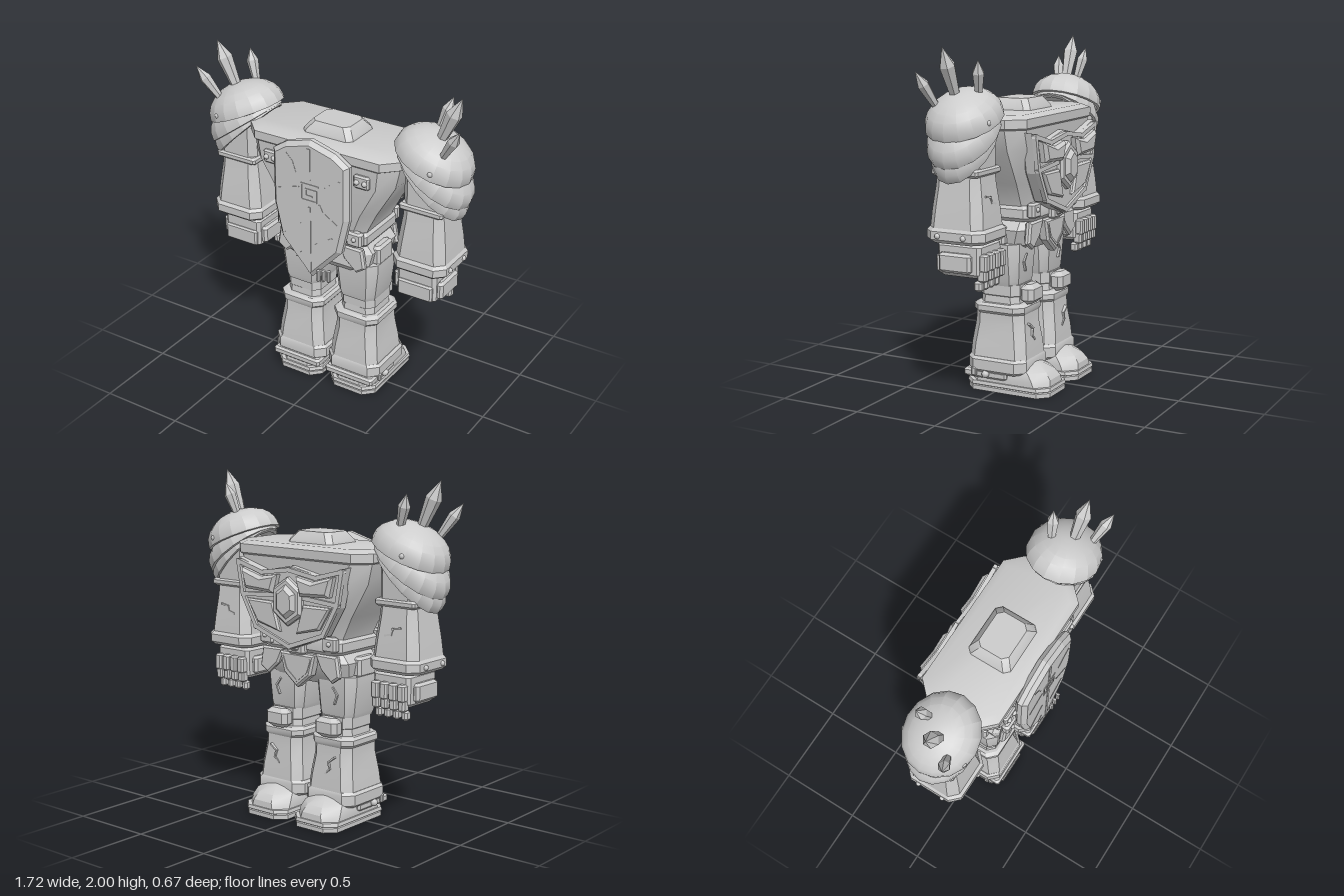
import * as THREE from 'three';
import { mergeVertices, toCreasedNormals } from 'three/addons/utils/BufferGeometryUtils.js';

export function createModel() {
  const model = new THREE.Group();
  const stone = new THREE.MeshStandardMaterial({ color: 0xcccccc, side: THREE.DoubleSide });
  stone.name = 'pale grey';

  const add = (name, geo) => {
    const m = new THREE.Mesh(geo, stone);
    m.name = name;
    model.add(m);
    return m;
  };

  // Stacked octagonal sections, bottom to top: [y, halfX, halfZ, corner, centreZ]
  const loft = (name, cx, sections) => {
    const pos = [], idx = [], n = 8;
    for (const [y, hx, hz, c, cz = 0] of sections) {
      const ring = [[hx, hz - c], [hx, c - hz], [hx - c, -hz], [c - hx, -hz],
        [-hx, c - hz], [-hx, hz - c], [c - hx, hz], [hx - c, hz]];
      for (const [x, z] of ring) pos.push(cx + x, y, cz + z);
    }
    const top = (sections.length - 1) * n;
    for (let i = 0; i < sections.length - 1; i++) {
      for (let j = 0; j < n; j++) {
        const a = i * n + j, b = i * n + (j + 1) % n;
        idx.push(a, b, b + n, a, b + n, a + n);
      }
    }
    for (let j = 1; j < n - 1; j++) idx.push(0, j + 1, j, top, top + j, top + j + 1);
    const g = new THREE.BufferGeometry();
    g.setAttribute('position', new THREE.Float32BufferAttribute(pos, 3));
    g.setIndex(idx);
    return add(name, toCreasedNormals(g, 0.5));
  };

  // Block with bevelled edges
  const block = (name, x, y, z, w, h, d, b = 0.015) => loft(name, x, [
    [y - h / 2, w / 2 - b, d / 2 - b, b, z], [y - h / 2 + b, w / 2, d / 2, b, z],
    [y + h / 2 - b, w / 2, d / 2, b, z], [y + h / 2, w / 2 - b, d / 2 - b, b, z]]);

  // Bevelled plate between two depths, outline in x and y
  const plate = (name, pts, z0, z1, b = 0.012) => {
    const shape = new THREE.Shape(pts.map(p => new THREE.Vector2(...p)));
    const g = new THREE.ExtrudeGeometry(shape, { depth: z1 - z0 - 2 * b, bevelEnabled: true,
      bevelSize: b, bevelThickness: b, bevelOffset: -b, bevelSegments: 1 });
    return add(name, g.translate(0, 0, z0 + b));
  };

  // Thin bars along a path on a face at depth z
  const bars = (name, pts, z, w = 0.008, d = 0.008) => {
    for (let i = 0; i < pts.length - 1; i++) {
      const [x0, y0] = pts[i], [x1, y1] = pts[i + 1];
      const m = add(name, new THREE.BoxGeometry(Math.hypot(x1 - x0, y1 - y0) + w, w, d));
      m.position.set((x0 + x1) / 2, (y0 + y1) / 2, z);
      m.rotation.z = Math.atan2(y1 - y0, x1 - x0);
    }
  };

  const rivet = (x, y, z, r = 0.014) =>
    add('rivet', new THREE.SphereGeometry(r, 10, 8)).position.set(x, y, z);

  // Open domed shell with a thick lip, tilted outward
  const shell = (name, s, x, y, r, rz, h, tilt) => {
    const pts = [];
    for (let i = 0; i <= 5; i++) {
      const a = i / 5 * Math.PI / 2;
      pts.push(new THREE.Vector2(0.91 * Math.sin(a), 0.88 * Math.cos(a)));
    }
    pts.push(new THREE.Vector2(0.92, -0.1), new THREE.Vector2(1, -0.08));
    for (let i = 6; i >= 0; i--) {
      const a = i / 6 * Math.PI / 2;
      pts.push(new THREE.Vector2(Math.sin(a), Math.cos(a)));
    }
    const m = add(name, toCreasedNormals(mergeVertices(new THREE.LatheGeometry(pts, 16)), 0.35));
    m.scale.set(r, h, rz);
    m.position.set(s * x, y, 0.02);
    m.rotation.z = -s * tilt;
  };

  // Six-sided spike that swells before its point
  const spike = (base, tip, r) => {
    const a = new THREE.Vector3(...base), dir = new THREE.Vector3(...tip).sub(a), L = dir.length();
    const pts = [[0, 0], [r * 0.55, 0], [r, L * 0.66], [0, L]].map(p => new THREE.Vector2(...p));
    const m = add('crystalSpike', toCreasedNormals(new THREE.LatheGeometry(pts, 6), 0.1));
    m.position.copy(a);
    m.quaternion.setFromUnitVectors(new THREE.Vector3(0, 1, 0), dir.normalize());
  };

  // Torso, neck and pelvis
  loft('torso', 0, [[0.98, 0.25, 0.18, 0.05], [1.1, 0.28, 0.2, 0.06], [1.22, 0.34, 0.215, 0.07],
    [1.42, 0.46, 0.23, 0.08], [1.54, 0.485, 0.235, 0.09]]);
  loft('shoulderTrim', 0, [[1.535, 0.485, 0.235, 0.09], [1.545, 0.5, 0.245, 0.09],
    [1.595, 0.5, 0.245, 0.09], [1.615, 0.46, 0.205, 0.08]]);
  loft('neckBlock', 0, [[1.61, 0.165, 0.135, 0.03, 0.01], [1.63, 0.16, 0.13, 0.03, 0.01],
    [1.68, 0.12, 0.095, 0.03, 0.01]]);
  loft('pelvis', 0, [[0.81, 0.2, 0.13, 0.04, 0.02], [0.86, 0.29, 0.17, 0.05, 0.02],
    [0.95, 0.31, 0.18, 0.05], [1.0, 0.27, 0.18, 0.05]]);
  loft('belt', 0, [[1.0, 0.275, 0.195, 0.05], [1.02, 0.29, 0.21, 0.05],
    [1.07, 0.29, 0.21, 0.05], [1.09, 0.275, 0.2, 0.05]]);

  // Shield on the +z side
  plate('shield', [[0, 1.655], [0.16, 1.61], [0.25, 1.55], [0.25, 1.22], [0.2, 1.0], [0, 0.785],
    [-0.2, 1.0], [-0.25, 1.22], [-0.25, 1.55], [-0.16, 1.61]], 0.235, 0.312, 0.025);
  bars('shieldRidge', [[0, 1.43], [0, 1.6]], 0.312, 0.02);
  bars('shieldRidge', [[0, 0.84], [0, 1.24]], 0.312, 0.02);
  bars('shieldSpiral', [[0.06, 1.39], [-0.05, 1.39], [-0.05, 1.29], [0.05, 1.29], [0.05, 1.36],
    [-0.02, 1.36], [-0.02, 1.32], [0.02, 1.32]], 0.312);
  for (const path of [[[-0.15, 1.55], [-0.11, 1.51], [-0.09, 1.45]], [[-0.2, 1.32], [-0.07, 1.36]],
    [[0.1, 1.39], [0.15, 1.43], [0.2, 1.46]], [[0.07, 1.28], [0.09, 1.24], [0.19, 1.18]],
    [[-0.18, 1.03], [-0.06, 1.13]], [[0.04, 1.02], [0.15, 1.09]], [[-0.09, 0.91], [-0.06, 0.95]]])
    bars('shieldCrack', path, 0.31, 0.007);
  [0.06, 0.095, 0.13].forEach((x, i) =>
    block('shieldClaw', x, 0.825 + i * 0.008, 0.315, 0.018, 0.08, 0.025, 0.006));

  // Chest emblem on the -z side
  plate('chestBacking', [[-0.4, 1.52], [-0.2, 1.46], [0, 1.5], [0.2, 1.46], [0.4, 1.52], [0.35, 1.29],
    [0.25, 1.12], [0, 1.02], [-0.25, 1.12], [-0.35, 1.29]], -0.28, -0.2);
  const hexagon = (w, h) => [[0, h], [w, h * 0.5], [w, -h * 0.5], [0, -h], [-w, -h * 0.5], [-w, h * 0.5]]
    .map(([x, y]) => [x, y + 1.3]);
  plate('gemFrame', hexagon(0.105, 0.14), -0.315, -0.24, 0.015);
  plate('chestGem', hexagon(0.07, 0.1), -0.338, -0.28, 0.022);
  block('beltBuckle', 0, 1.03, -0.215, 0.13, 0.09, 0.05);
  block('buckleStud', 0, 1.03, -0.24, 0.06, 0.04, 0.03, 0.01);
  plate('loinPlate', [[-0.13, 0.99], [0.13, 0.99], [0.1, 0.87], [0, 0.79], [-0.1, 0.87]], -0.225, -0.16);
  bars('loinTrim', [[-0.1, 0.96], [-0.075, 0.89], [0, 0.83], [0.075, 0.89], [0.1, 0.96]], -0.225, 0.012);

  for (const s of [1, -1]) {
    const flip = pts => pts.map(([x, y]) => [s * x, y]);

    // Chest wing panels and the straps that divide them
    plate('chestUpperPanel', flip([[0.07, 1.45], [0.19, 1.43], [0.34, 1.47], [0.31, 1.35], [0.1, 1.34]]),
      -0.328, -0.26, 0.02);
    plate('chestLowerPanel', flip([[0.11, 1.29], [0.31, 1.29], [0.23, 1.16], [0.06, 1.12]]),
      -0.305, -0.26);
    bars('chestStrap', flip([[0.1, 1.33], [0.35, 1.31], [0.25, 1.13], [0, 1.04]]), -0.282, 0.025, 0.025);
    bars('chestStrap', flip([[0.35, 1.31], [0.385, 1.5], [0.2, 1.45], [0, 1.48]]), -0.282, 0.025, 0.025);

    // Riveted plates beside the shield, belt pouches and hip pads
    block('strapPlate', s * 0.3, 1.457, 0.24, 0.1, 0.08, 0.03, 0.01);
    for (const x of [0.275, 0.325]) rivet(s * x, 1.457, 0.256, 0.016);
    for (const z of [0.2, -0.2]) {
      block('beltPlate', s * 0.235, 1.065, z, 0.1, 0.09, 0.05, 0.012);
      rivet(s * 0.24, 1.07, z * 1.13);
      plate('hipSkirt', flip([[0.12, 1.0], [0.28, 1.0], [0.3, 0.88], [0.24, 0.84], [0.16, 0.91]]),
        z > 0 ? 0.165 : -0.205, z > 0 ? 0.205 : -0.165);
    }
    block('hipPad', s * 0.305, 0.92, 0.02, 0.06, 0.12, 0.16);

    // Layered shoulder armour and spikes
    shell('shoulderDome', s, 0.625, 1.605, 0.238, 0.212, 0.16, 0.4);
    shell('shoulderLowerPlate', s, 0.63, 1.52, 0.262, 0.195, 0.15, 0.63);
    shell('shoulderLowestPlate', s, 0.615, 1.475, 0.275, 0.175, 0.145, 0.77);
    for (const z of [-0.165, 0.205]) rivet(s * 0.7, 1.6, z, 0.018);
    spike([s * 0.66, 1.7, 0.045], [s * 0.795, 2, 0.055], 0.046);
    spike([s * 0.72, 1.66, 0.125], [s * 0.855, 1.87, 0.185], 0.034);
    spike([s * 0.6, 1.72, -0.055], [s * 0.67, 1.93, -0.09], 0.035);

    // Arm
    const ax = s * 0.62;
    loft('upperArm', ax, [[1.34, 0.125, 0.135, 0.04, 0.015], [1.56, 0.125, 0.135, 0.04, 0.015],
      [1.6, 0.1, 0.11, 0.04, 0.015]]);
    block('elbowBand', ax, 1.33, 0.015, 0.272, 0.045, 0.29, 0.012);
    loft('forearm', ax, [[1.02, 0.158, 0.165, 0.05, 0.015], [1.12, 0.148, 0.157, 0.05, 0.015],
      [1.25, 0.13, 0.14, 0.045, 0.015], [1.32, 0.122, 0.133, 0.04, 0.015]]);
    loft('wristCuff', ax, [[0.945, 0.15, 0.16, 0.05, 0.015], [0.965, 0.17, 0.182, 0.055, 0.015],
      [1.01, 0.17, 0.182, 0.055, 0.015], [1.03, 0.155, 0.162, 0.05, 0.015]]);
    for (const z of [-0.06, 0.1]) rivet(s * 0.79, 0.985, z, 0.016);
    bars('armCrack', flip([[0.67, 1.2], [0.62, 1.19], [0.61, 1.16], [0.57, 1.15]]), -0.13, 0.01, 0.02);

    // Hand with four curled fingers
    const hx = 0.6;
    block('palm', s * hx, 0.85, 0.01, 0.25, 0.19, 0.27, 0.02);
    for (const dx of [-0.135, 0.135]) block('handGuard', s * (hx + dx), 0.835, 0.02, 0.045, 0.11, 0.2);
    block('backHandPlate', s * hx, 0.82, 0.145, 0.22, 0.1, 0.03, 0.01);
    for (let i = 0; i < 4; i++) {
      const fx = s * (hx - 0.09 + i * 0.06);
      block('fingerBase', fx, 0.84, -0.135, 0.05, 0.1, 0.05, 0.01);
      block('fingerMiddle', fx, 0.77, -0.125, 0.046, 0.07, 0.055, 0.01);
      block('fingerTip', fx, 0.71, -0.1, 0.042, 0.06, 0.05, 0.012);
    }

    // Leg
    const lx = s * 0.188;
    loft('thigh', lx, [[0.62, 0.115, 0.125, 0.04, 0.01], [0.65, 0.125, 0.132, 0.04, 0.01],
      [0.82, 0.145, 0.145, 0.05, 0.012], [0.87, 0.145, 0.145, 0.05, 0.012]]);
    loft('knee', lx, [[0.5, 0.115, 0.125, 0.04], [0.56, 0.11, 0.12, 0.04],
      [0.565, 0.116, 0.126, 0.04], [0.63, 0.116, 0.126, 0.04]]);
    block('kneePad', lx, 0.575, -0.16, 0.16, 0.115, 0.09, 0.025);
    loft('shin', lx, [[0.18, 0.165, 0.183, 0.05, -0.005], [0.28, 0.155, 0.175, 0.05, -0.005],
      [0.4, 0.138, 0.158, 0.05, -0.005], [0.46, 0.138, 0.155, 0.05, -0.005],
      [0.475, 0.15, 0.163, 0.05, -0.005], [0.505, 0.15, 0.163, 0.05, -0.005],
      [0.52, 0.135, 0.145, 0.05, -0.005]]);
    loft('ankleCuff', lx, [[0.115, 0.165, 0.175, 0.05, -0.005], [0.13, 0.18, 0.188, 0.055, -0.005],
      [0.19, 0.18, 0.188, 0.055, -0.005], [0.205, 0.165, 0.18, 0.05, -0.005]]);
    bars('legCrack', flip([[0.24, 0.4], [0.2, 0.37], [0.21, 0.33], [0.18, 0.3]]), -0.172, 0.01, 0.02);
    bars('legCrack', flip([[0.2, 0.8], [0.23, 0.76], [0.21, 0.71]]), -0.13, 0.01, 0.02);

    // Foot with a rounded toe and ridged sole
    loft('sole', lx, [[0, 0.158, 0.265, 0.06, -0.065], [0.025, 0.158, 0.265, 0.06, -0.065],
      [0.03, 0.152, 0.259, 0.06, -0.065], [0.035, 0.162, 0.268, 0.06, -0.065],
      [0.055, 0.158, 0.264, 0.06, -0.065]]);
    loft('boot', lx, [[0.05, 0.148, 0.255, 0.07, -0.065], [0.09, 0.148, 0.25, 0.08, -0.065],
      [0.13, 0.135, 0.225, 0.08, -0.06], [0.16, 0.11, 0.19, 0.08, -0.04], [0.175, 0.07, 0.15, 0.06, -0.03]]);
    block('heelStrap', lx, 0.1, 0.06, 0.33, 0.05, 0.28, 0.012);
    rivet(s * 0.36, 0.105, 0.05, 0.022);
    block('ankleHook', s * 0.365, 0.115, 0.12, 0.02, 0.05, 0.03, 0.006);
  }
  return model;
}
